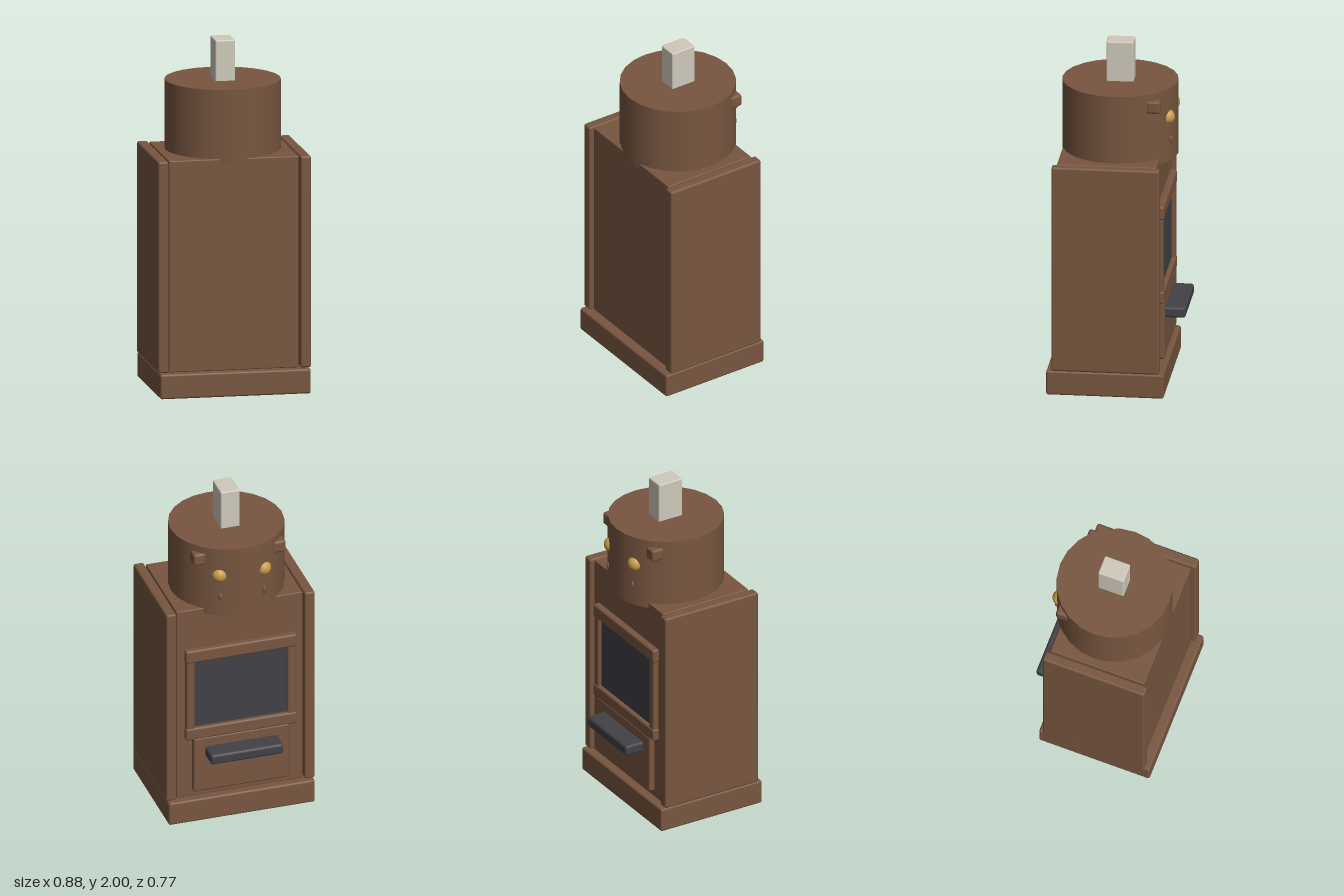
import * as THREE from 'three';
import { RoundedBoxGeometry } from 'three/addons/geometries/RoundedBoxGeometry.js';

export function createModel() {
  const model = new THREE.Group();
  model.name = 'stove';

  const material = (name, color) => {
    const m = new THREE.MeshStandardMaterial({ color });
    m.name = name;
    return m;
  };
  const brown = material('brown', 0x785640);
  const cream = material('cream', 0xd0cabb);
  const charcoal = material('charcoal', 0x414147);
  const gold = material('gold', 0xc89b4c);

  const add = (name, geometry, mat, x = 0, y = 0, z = 0) => {
    const mesh = new THREE.Mesh(geometry, mat);
    mesh.name = name;
    mesh.position.set(x, y, z);
    model.add(mesh);
    return mesh;
  };

  // Soft-edged box given by its limits on each axis
  const box = (name, mat, [x0, x1], [y0, y1], [z0, z1], radius = 0.012) =>
    add(name, new RoundedBoxGeometry(x1 - x0, y1 - y0, z1 - z0, 2, radius), mat,
      (x0 + x1) / 2, (y0 + y1) / 2, (z0 + z1) / 2);

  // Plinth and body
  box('base', brown, [-0.435, 0.435], [0, 0.143], [-0.285, 0.385]);
  box('body', brown, [-0.375, 0.375], [0.143, 1.365], [-0.237, 0.33], 0.006);

  // Round top and chimney
  add('drum', new THREE.CylinderGeometry(0.33, 0.33, 0.435, 24), brown, 0, 1.5475, 0.01);
  box('chimney', cream, [-0.057, 0.057], [1.7, 2], [-0.07, 0.085], 0.008);

  // Oven window with its frame, then the drawer below
  box('windowGlass', charcoal, [-0.285, 0.285], [0.58, 1.05], [-0.25, -0.22], 0.002);
  box('frameTop', brown, [-0.33, 0.33], [1.035, 1.115], [-0.275, -0.23]);
  box('frameBottom', brown, [-0.33, 0.33], [0.53, 0.605], [-0.275, -0.23]);
  box('drawer', brown, [-0.285, 0.285], [0.185, 0.535], [-0.272, -0.23]);
  box('handle', charcoal, [-0.216, 0.216], [0.412, 0.475], [-0.385, -0.26], 0.015);

  // Mirrored parts
  for (const [side, s] of [['left', 1], ['right', -1]]) {
    const span = (a, b) => (s > 0 ? [a, b] : [-b, -a]);
    box(side + 'SidePanel', brown, span(0.381, 0.442), [0.145, 1.367], [-0.26, 0.355]);
    box(side + 'FrameUpright', brown, span(0.275, 0.325), [0.59, 1.05], [-0.27, -0.23]);
    box(side + 'Knob', brown, span(0.195, 0.275), [1.65, 1.725], [-0.245, -0.165], 0.015);
    add(side + 'Eye', new THREE.SphereGeometry(0.045, 20, 14), gold, s * 0.13, 1.59, -0.27);
    add(side + 'Stud', new THREE.SphereGeometry(0.012, 10, 8), brown, s * 0.13, 1.455, -0.29)
      .scale.set(1, 2, 1);
  }

  return model;
}
